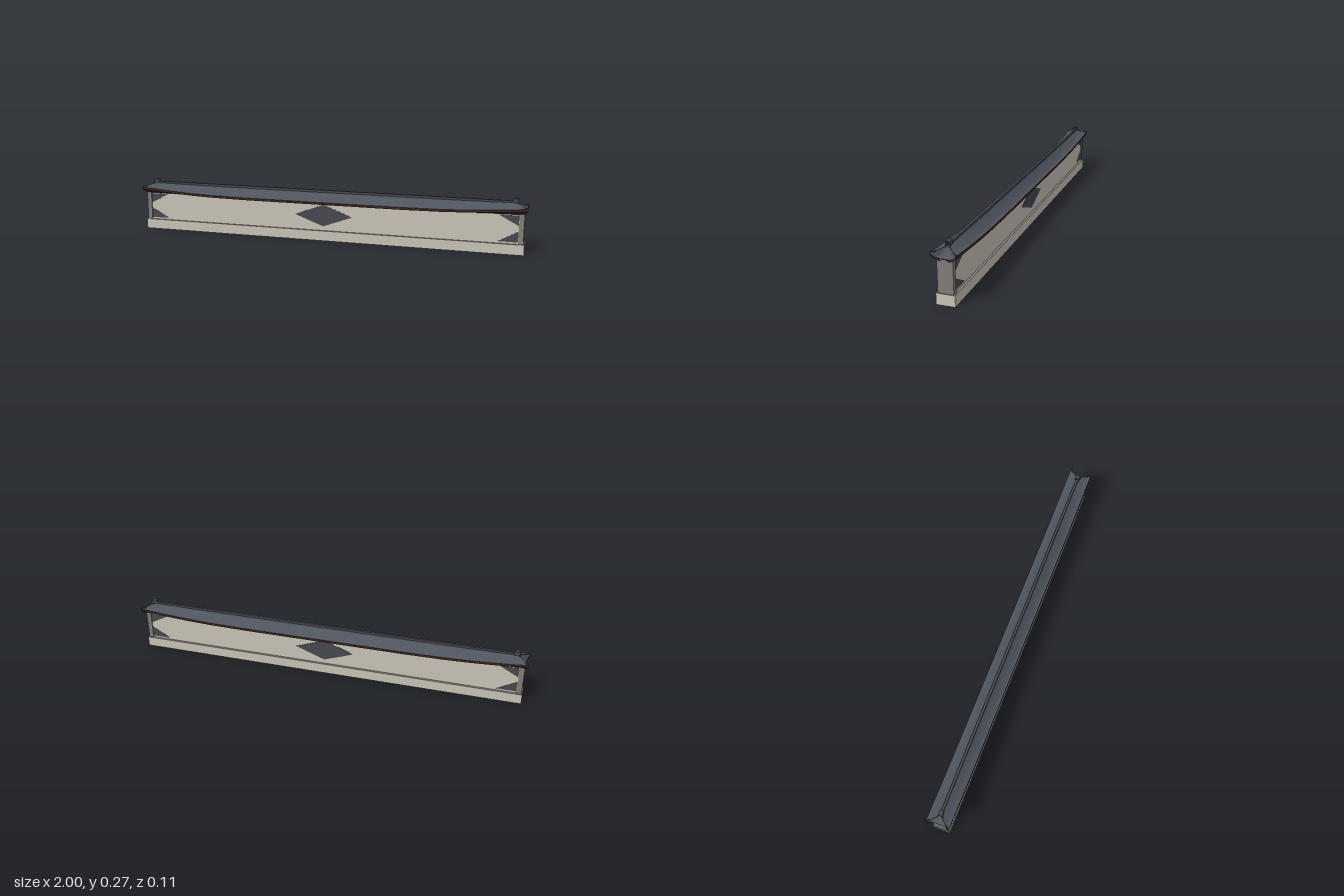
import * as THREE from 'three';

const mat = (name, color, side = THREE.FrontSide) => {
  const m = new THREE.MeshStandardMaterial({ color, side });
  m.name = name;
  return m;
};

// Faceted skin through closed loops of points, listed from top/inside to bottom/outside
function skin(rows) {
  const pos = [];
  for (let r = 0; r < rows.length - 1; r++) {
    const A = rows[r], B = rows[r + 1], n = A.length;
    for (let i = 0; i < n; i++) {
      const j = (i + 1) % n;
      for (const p of [A[i], B[i], B[j], A[i], B[j], A[j]]) pos.push(...p);
    }
  }
  const g = new THREE.BufferGeometry();
  g.setAttribute('position', new THREE.Float32BufferAttribute(pos, 3));
  g.computeVertexNormals();
  return g;
}

const rectLoop = (x, y, z) => [[-x, y, z], [x, y, z], [x, y, -z], [-x, y, -z]];

export function createModel() {
  const root = new THREE.Group();
  const cream = mat('cream plaster', 0xcbc5b9, THREE.DoubleSide);
  const stone = mat('grey stone', 0x827e78, THREE.DoubleSide);
  const slate = mat('dark slate inlay', 0x484a51, THREE.DoubleSide);
  const tile = mat('roof tile', 0x4f555e, THREE.DoubleSide);
  const ridgeMat = mat('ridge tile', 0x45494f, THREE.DoubleSide);
  const wood = mat('dark red wood', 0x3a2420, THREE.DoubleSide);
  const teal = mat('teal trim', 0x4c7a74);

  const add = (name, geo, m, parent = root) => {
    const mesh = new THREE.Mesh(geo, m);
    mesh.name = name;
    parent.add(mesh);
    return mesh;
  };
  const box = (name, size, at, m) => add(name, new THREE.BoxGeometry(...size), m).position.set(...at);

  // Plinth, open underneath, with a grey stone top
  add('plinth', skin([rectLoop(0.99, 0.051, 0.042), rectLoop(0.99, 0, 0.042)]), cream);
  const top = new THREE.PlaneGeometry(1.98, 0.084).rotateX(-Math.PI / 2).translate(0, 0.051, 0);
  add('plinthTop', top, stone);

  // Wall, end posts and the trim under the eaves
  box('wallPanel', [1.93, 0.142, 0.06], [0, 0.122, 0], cream);
  box('eaveTrim', [1.95, 0.007, 0.064], [0, 0.1965, 0], teal);
  for (const s of [-1, 1]) box('endPost', [0.024, 0.147, 0.07], [s * 0.973, 0.1245, 0], stone);

  // Inlays on both faces: a central diamond and four corner triangles
  const inlay = (name, pts, s) => {
    const shape = new THREE.Shape(pts.map(p => new THREE.Vector2(...p)));
    const g = new THREE.ExtrudeGeometry(shape, { depth: 0.002, bevelEnabled: false });
    add(name, g, slate).position.z = s > 0 ? 0.0295 : -0.0315;
  };
  for (const s of [-1, 1]) {
    inlay('diamondInlay', [[-0.15, 0.128], [0, 0.073], [0.15, 0.128], [0, 0.184]], s);
    for (const x of [-1, 1]) {
      inlay('lowerCornerInlay', [[x * 0.96, 0.06], [x * 0.865, 0.06], [x * 0.96, 0.113]], s);
      inlay('upperCornerInlay', [[x * 0.96, 0.19], [x * 0.865, 0.19], [x * 0.96, 0.14]], s);
    }
  }

  // Eave loop: level in the middle, sweeping up to the four corners
  const half = [0, 0.4, 0.6, 0.72, 0.82, 0.9, 0.96];
  const xs = [-1, ...half.slice(1).reverse().map(x => -x), ...half];
  const lift = x => 0.201 + 0.027 * Math.pow(Math.max(0, (Math.abs(x) - 0.4) / 0.6), 2.2);
  const side = [
    ...xs.map(x => [x, lift(x), 0.057]),
    [1, 0.228, 0.057], [0.988, 0.207, 0.036], [0.985, 0.201, 0.018], [0.985, 0.201, -0.018], [0.988, 0.207, -0.036],
  ];
  const eave = [...side, ...side.map(([x, y, z]) => [-x, y, -z])];
  const ridgeX = 0.945;
  const clamp = (v, m) => Math.max(-m, Math.min(m, v));
  const rows = [0, 0.25, 0.5, 0.75, 1].map(t => eave.map(([x, y, z]) => {
    const rx = clamp(x, ridgeX);
    const drop = 1 - Math.pow(1 - t, 1.5);
    return [rx + (x - rx) * t, 0.249 + (y - 0.249) * drop, z * t];
  }));
  add('tiledRoof', skin(rows), tile);

  // Eave board and soffit
  const low = eave.map(([x, y, z]) => [x, y - 0.012, z]);
  add('eaveBoard', skin([eave, low]), wood);
  add('soffit', skin([low, eave.map(([x, , z]) => [clamp(x, 0.975), 0.194, clamp(z, 0.03)])]), wood);

  // Open-ended ridge cap: top and two sides only
  const cap = (x0, x1, y0, y1, w) => {
    const g = new THREE.PlaneGeometry(x1 - x0, 1, 1, 3);
    const profile = [[y0, -w], [y1, -w], [y1, w], [y0, w]];
    const p = g.attributes.position;
    for (let i = 0; i < p.count; i++) {
      const [y, z] = profile[Math.floor(i / 2)];
      p.setXYZ(i, p.getX(i) + (x0 + x1) / 2, y, z);
    }
    const flat = g.toNonIndexed();
    flat.computeVertexNormals();
    return flat;
  };
  add('ridgeCap', cap(-ridgeX, ridgeX, 0.238, 0.254, 0.006), ridgeMat);

  // Ridge end ornaments and hip ridges at each corner
  for (const s of [-1, 1]) {
    const c = s * 0.94;
    add('ridgeOrnament', cap(c - 0.013, c + 0.013, 0.245, 0.264, 0.01), ridgeMat);
    box('ornamentTop', [0.026, 0.003, 0.02], [c, 0.2645, 0], ridgeMat);
    for (const f of [-1, 1]) {
      const path = new THREE.CatmullRomCurve3([
        new THREE.Vector3(s * 0.943, 0.247, 0),
        new THREE.Vector3(s * 0.965, 0.232, f * 0.024),
        new THREE.Vector3(s * 0.983, 0.228, f * 0.042),
        new THREE.Vector3(s * 0.997, 0.231, f * 0.054),
      ]);
      add('hipRidge', new THREE.TubeGeometry(path, 6, 0.004, 5), ridgeMat);
    }
  }
  return root;
}
